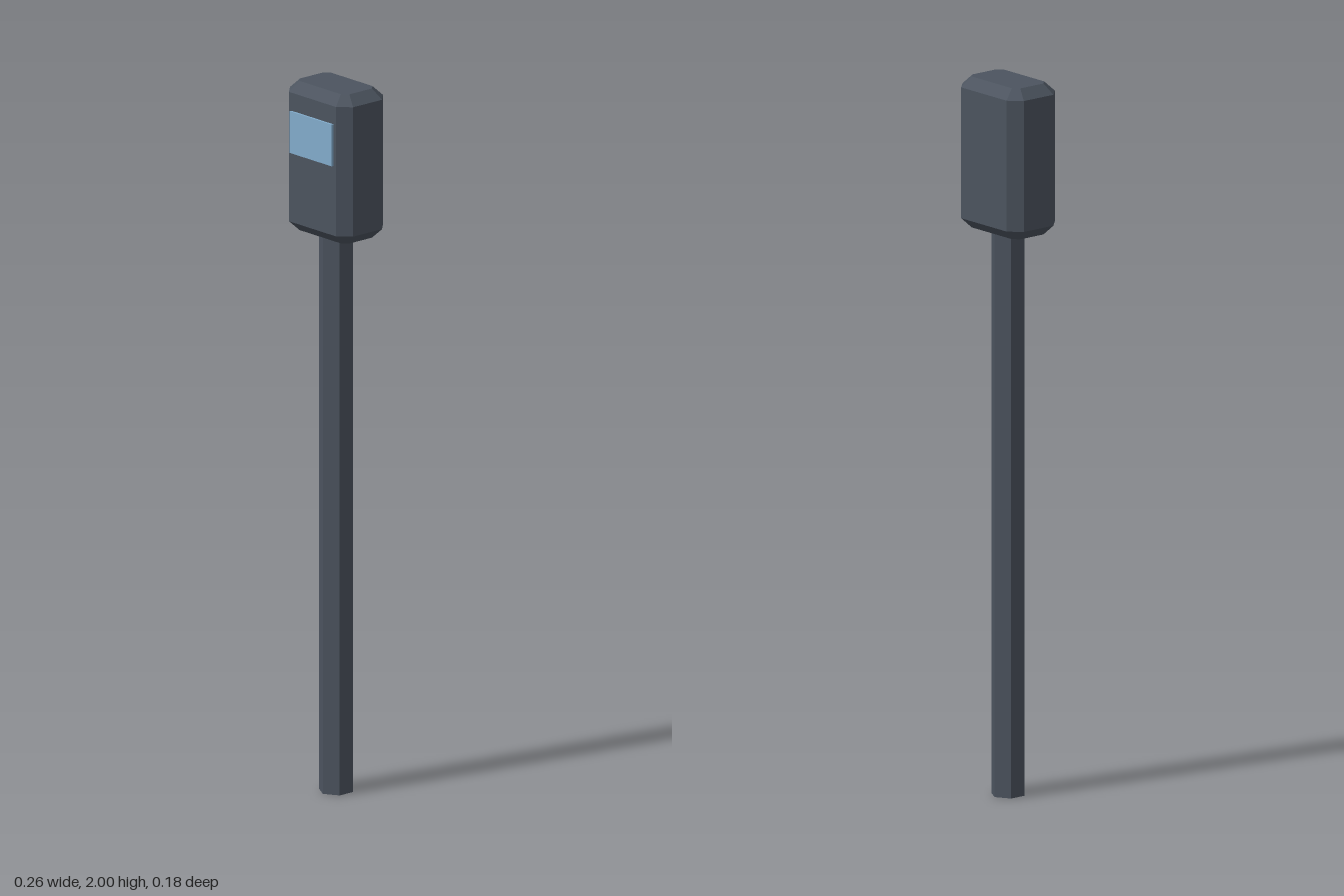
import * as THREE from 'three';

export function createModel() {
  const model = new THREE.Group();
  model.name = 'parkingMeter';
  const grey = new THREE.MeshStandardMaterial({ color: 0x4c545f, flatShading: true });
  grey.name = 'slateGrey';
  const blue = new THREE.MeshStandardMaterial({ color: 0x82abcb });
  blue.name = 'screenBlue';
  const centreZ = -0.004;

  const add = (name, geometry, material, x, y, z) => {
    const mesh = new THREE.Mesh(geometry, material);
    mesh.name = name;
    mesh.position.set(x, y, z);
    model.add(mesh);
  };

  // Hexagonal pole with a corner facing front
  const poleTop = 1.59;
  add('pole', new THREE.CylinderGeometry(0.048, 0.048, poleTop, 6), grey, 0, poleTop / 2, centreZ);

  // Head: octagonal outline extruded upward with one bevel all round
  const bottom = 1.578, top = 2, bevel = 0.028, cut = bevel * (2 - Math.SQRT2);
  const w = 0.128 - bevel, d = 0.0855 - bevel;
  const outline = new THREE.Shape([
    [w, cut - d], [w, d - cut], [w - cut, d], [cut - w, d],
    [-w, d - cut], [-w, cut - d], [cut - w, -d], [w - cut, -d],
  ].map(([x, y]) => new THREE.Vector2(x, y)));
  const head = new THREE.ExtrudeGeometry(outline, {
    depth: top - bottom - 2 * bevel,
    bevelEnabled: true, bevelSegments: 1, bevelSize: bevel, bevelThickness: bevel,
  });
  head.rotateX(-Math.PI / 2);
  add('head', head, grey, 0, bottom + bevel, centreZ);

  // Thin display plate on the front
  add('screen', new THREE.BoxGeometry(0.17, 0.118, 0.009), blue, 0, 1.862, 0.0835);

  return model;
}
